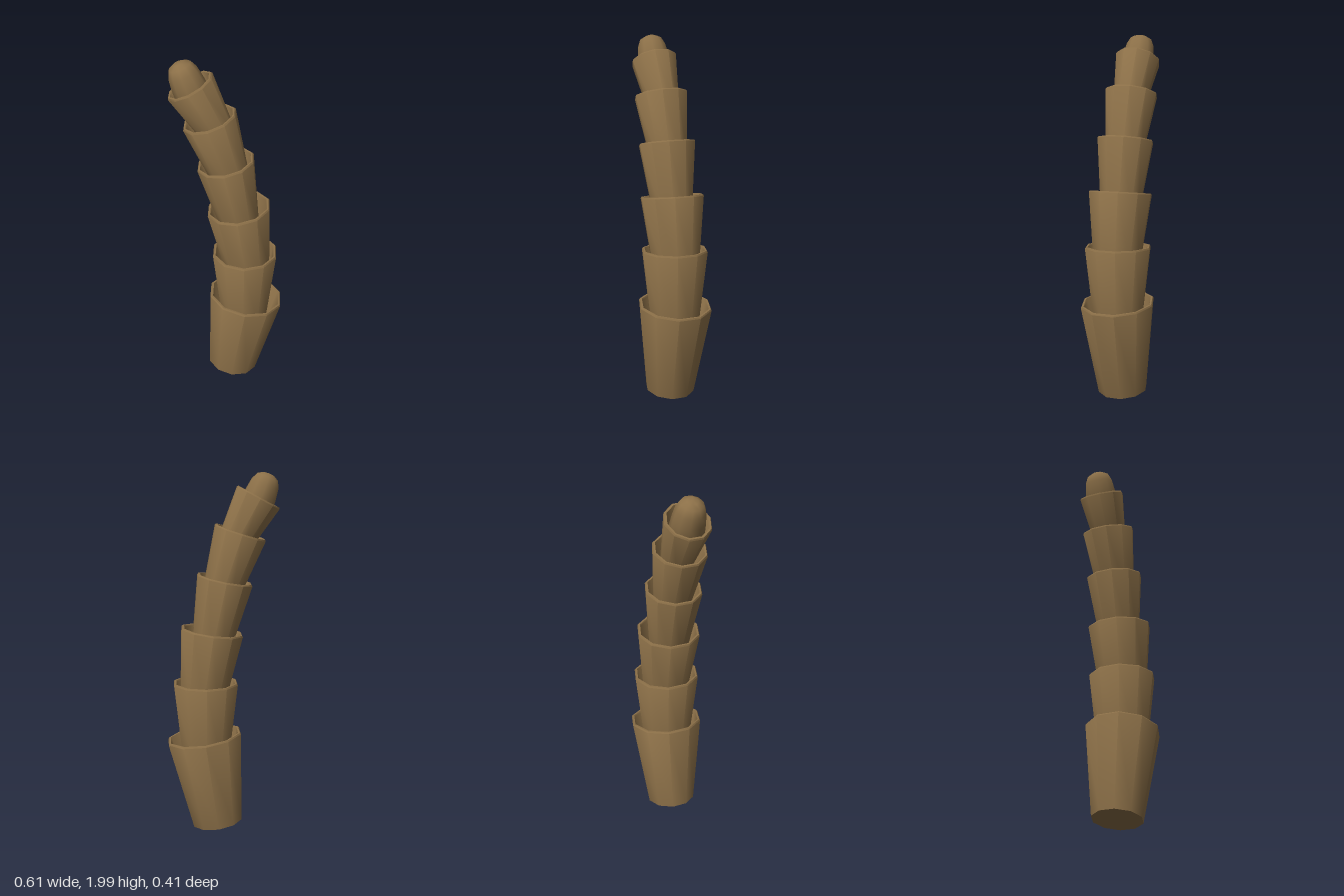
import * as THREE from 'three';
import { toCreasedNormals } from 'three/addons/utils/BufferGeometryUtils.js';

const SIDES = 10;
const bark = new THREE.MeshStandardMaterial({ color: 0x8c7048 });

// Ten-sided turned piece with its origin at the top, leaning towards -x
function turned(name, profile, x, y, tilt, widen = 1) {
  const points = profile.map(([r, h]) => new THREE.Vector2(r, h));
  const geometry = toCreasedNormals(new THREE.LatheGeometry(points, SIDES), 0.82);
  const mesh = new THREE.Mesh(geometry, bark);
  mesh.name = name;
  mesh.position.set(x, y, 0);
  mesh.rotation.z = THREE.MathUtils.degToRad(tilt);
  mesh.scale.x = widen;
  return mesh;
}

// Hollow flaring cup with a soft rim
function cupProfile(top, bottom, length) {
  const wall = 0.02;
  return [
    [0, -length], [bottom, -length],
    [top, -0.008], [top - 0.005, 0], [top - wall + 0.005, 0], [top - wall, -0.008],
    [bottom - wall, -length + 0.03], [0, -length + 0.03],
  ];
}

export function createModel() {
  const trunk = new THREE.Group();
  trunk.name = 'palmTrunk';

  // Trunk segments from the ground up: top centre, lean, radii, length, x stretch
  const cups = [
    { x: 0.103, y: 0.54, tilt: -8.3, top: 0.204, bottom: 0.137, length: 0.52, widen: 1.05 },
    { x: 0.094, y: 0.85, tilt: 0, top: 0.185, bottom: 0.136, length: 0.43 },
    { x: 0.057, y: 1.143, tilt: 7.8, top: 0.177, bottom: 0.13, length: 0.4 },
    { x: -0.014, y: 1.428, tilt: 11.5, top: 0.158, bottom: 0.109, length: 0.4 },
    { x: -0.098, y: 1.683, tilt: 17.8, top: 0.148, bottom: 0.101, length: 0.38 },
    { x: -0.195, y: 1.87, tilt: 28, top: 0.126, bottom: 0.082, length: 0.34, widen: 1.05 },
  ];
  cups.forEach((c, i) => {
    trunk.add(turned(`trunkSegment${i + 1}`, cupProfile(c.top, c.bottom, c.length), c.x, c.y, c.tilt, c.widen));
  });

  // Rounded tip seated in the top segment
  const tip = [
    [0, -0.3], [0.07, -0.3], [0.094, -0.2], [0.088, -0.12],
    [0.079, -0.06], [0.061, -0.02], [0.03, -0.003], [0, 0],
  ];
  trunk.add(turned('trunkTip', tip, -0.25, 1.992, 22));

  return trunk;
}
